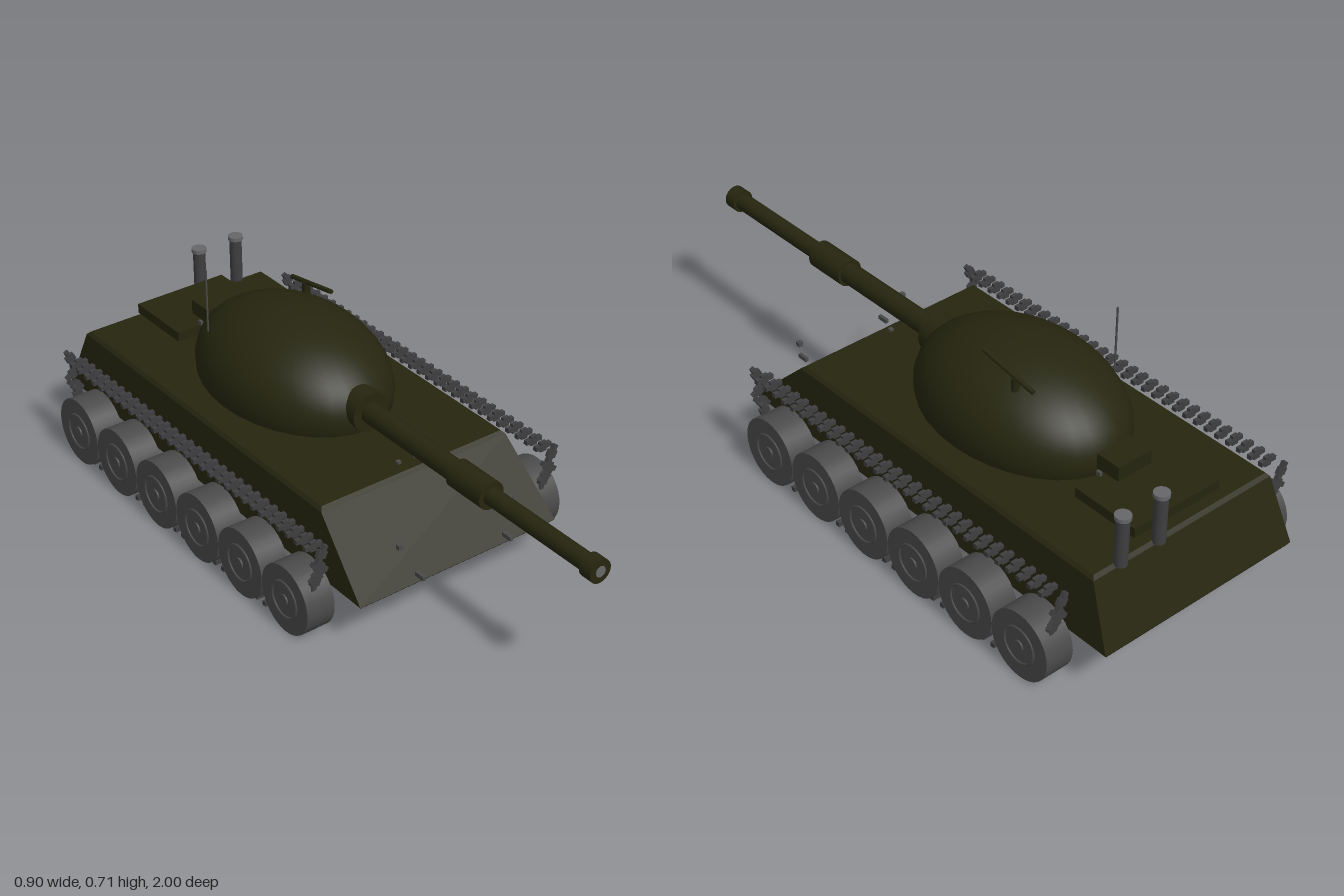
import * as THREE from 'three';

const material = (name, color) => {
  const m = new THREE.MeshStandardMaterial({ color });
  m.name = name;
  return m;
};

export function createModel() {
  const tank = new THREE.Group();
  tank.name = 'tank';
  const olive = material('dark olive paint', 0x25250f);
  const steel = material('wheel grey', 0x4a4a4a);
  const dark = material('track grey', 0x3e3e40);
  const light = material('light steel', 0x66666a);

  const add = (name, geo, mat, x, y, z, parent = tank) => {
    const mesh = new THREE.Mesh(geo, mat);
    mesh.name = name;
    mesh.position.set(x, y, z);
    parent.add(mesh);
    return mesh;
  };
  const box = (w, h, d) => new THREE.BoxGeometry(w, h, d);
  const rod = (r, length, sides = 24) => new THREE.CylinderGeometry(r, r, length, sides);
  const rodX = (r, length, sides) => rod(r, length, sides).rotateZ(Math.PI / 2);
  const rodZ = (r, length, sides) => rod(r, length, sides).rotateX(Math.PI / 2);

  // Hull: stacked rectangles [half width, y, front z, back z]
  const rings = [
    [0.335, 0.142, 0.455, -0.997], [0.341, 0.148, 0.46, -1],
    [0.321, 0.338, 0.262, -0.925], [0.312, 0.348, 0.25, -0.915],
  ];
  const points = [], faces = [];
  rings.forEach(([w, y, f, b]) => points.push(-w, y, f, w, y, f, w, y, b, -w, y, b));
  for (let r = 0; r < 3; r++) {
    for (let i = 0; i < 4; i++) {
      const a = r * 4 + i, b = r * 4 + (i + 1) % 4;
      faces.push(a, b, b + 4, a, b + 4, a + 4);
    }
  }
  faces.push(0, 2, 1, 0, 3, 2, 12, 13, 14, 12, 14, 15);
  const indexed = new THREE.BufferGeometry();
  indexed.setAttribute('position', new THREE.Float32BufferAttribute(points, 3));
  indexed.setIndex(faces);
  const hull = indexed.toNonIndexed();
  hull.computeVertexNormals();
  add('hull', hull, olive, 0, 0, 0);

  // Turret: flattened dome with a closed underside
  const cut = Math.acos(-0.175);
  const dome = new THREE.SphereGeometry(1, 32, 20, 0, Math.PI * 2, 0, cut).scale(0.25, 0.2, 0.35);
  add('turret', dome, olive, 0, 0.395, -0.305);
  const floor = new THREE.CircleGeometry(0.985, 32).rotateX(Math.PI / 2).scale(0.25, 1, 0.35);
  add('turretFloor', floor, olive, 0, 0.36, -0.305);

  // Gun: [name, radius, back z, front z]
  [
    ['mantlet', 0.06, -0.04, 0.06],
    ['barrelBase', 0.032, 0.05, 0.45],
    ['barrelSleeve', 0.042, 0.44, 0.577],
    ['barrelTube', 0.026, 0.57, 0.965],
    ['muzzle', 0.035, 0.958, 0.999],
  ].forEach(([name, r, a, b]) =>
    add(name, rodZ(r, b - a, 32), olive, 0, 0.43, (a + b) / 2));
  add('bore', rodZ(0.016, 0.004), light, 0, 0.43, 0.999);

  // Roof gun and aerial
  add('roofGun', rodZ(0.007, 0.195, 12), olive, 0.127, 0.596, -0.388).rotation.x = -0.17;
  add('roofGunMount', rod(0.012, 0.04, 12), olive, 0.127, 0.57, -0.415);
  add('aerial', rod(0.003, 0.2, 8), steel, -0.178, 0.606, -0.475);

  // Engine cover and the stowage box ahead of it
  add('engineCover', box(0.305, 0.03, 0.22), olive, 0, 0.382, -0.787);
  add('stowageBox', box(0.12, 0.045, 0.08), olive, 0, 0.428, -0.7);
  for (const x of [-0.07, 0.07]) add('boxLatch', box(0.008, 0.012, 0.015), steel, x, 0.403, -0.68);

  // Exhaust stacks
  for (const x of [0.09, 0.225]) {
    add('exhaustPipe', rod(0.019, 0.155), dark, x, 0.418, -0.922);
    add('exhaustCap', rod(0.023, 0.012), light, x, 0.494, -0.922);
  }

  // Front lamps and tow pins
  for (const s of [-1, 1]) {
    add('lamp', box(0.014, 0.014, 0.014), steel, s * 0.193, 0.27, 0.437);
    add('towPin', box(0.01, 0.013, 0.034), steel, s * 0.152, 0.18, 0.477);
    add('deckBolt', box(0.012, 0.008, 0.012), steel, s * 0.028, 0.36, 0.22);
  }

  // Running gear, the same on both sides
  const tyre = rodX(0.105, 0.09, 32);
  const hub = rodX(0.017, 0.1, 16);
  const rim = new THREE.TorusGeometry(0.055, 0.004, 6, 32).rotateY(Math.PI / 2);
  const bar = box(0.056, 0.014, 0.014);
  const guide = box(0.022, 0.03, 0.012);
  for (const s of [-1, 1]) {
    const side = new THREE.Group();
    side.name = s > 0 ? 'leftRunningGear' : 'rightRunningGear';
    side.position.x = s * 0.4;
    tank.add(side);

    for (let i = 0; i < 6; i++) {
      const z = 0.26 - i * 0.2105;
      add('roadWheel', tyre, steel, 0, 0.105, z, side);
      add('wheelHub', hub, steel, 0, 0.105, z, side);
      for (const x of [-0.045, 0.045]) add('wheelRim', rim, steel, x, 0.105, z, side);
    }

    const link = (y, z, tilt = 0) => {
      const g = new THREE.Group();
      g.name = 'trackLink';
      g.position.set(0, y, z);
      g.rotation.z = tilt;
      side.add(g);
      add('linkBar', bar, dark, 0, 0, 0, g);
      add('linkGuide', guide, dark, 0, 0, 0, g);
    };
    // Upper run
    for (let i = 0; i < 30; i++) link(0.302, 0.33 - i * 0.0405);
    // Lower run, kept level with the wheel bottoms
    for (let i = 0; i < 28; i++) add('lowerLink', bar, dark, 0, 0.011, 0.3 - i * 0.0405, side);
    // Twisted links hanging at each end
    for (const [y, inset, tilt] of [[0.297, 0, 1.1], [0.25, 0.01, -0.6], [0.215, 0.02, 0.6], [0.19, 0.03, 1.2]]) {
      link(y, 0.368 - inset, tilt);
      link(y, -0.895 + inset, -tilt);
    }
  }
  return tank;
}
